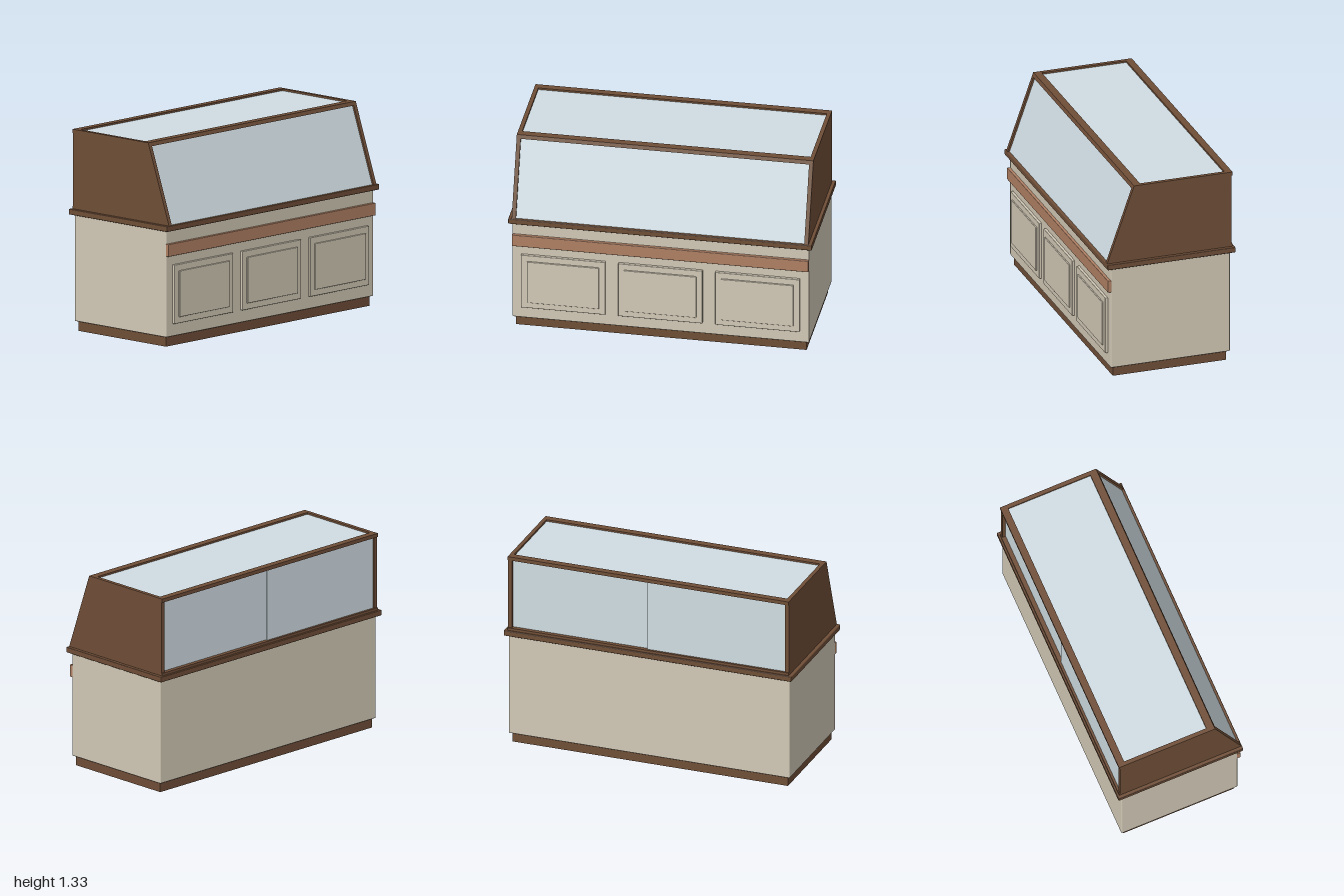
import * as THREE from 'three';
import { RoundedBoxGeometry } from 'three/addons/geometries/RoundedBoxGeometry.js';

const wood = new THREE.MeshStandardMaterial({ color: 0x6f4e37 });
const cream = new THREE.MeshStandardMaterial({ color: 0xd2c9b6 });
const copper = new THREE.MeshStandardMaterial({ color: 0xb08064 });
const glass = new THREE.MeshStandardMaterial({ color: 0xd0dde3 });

export function createModel() {
  const model = new THREE.Group();
  model.name = 'displayCounter';

  const add = (name, geometry, material) => {
    const mesh = new THREE.Mesh(geometry, material);
    mesh.name = name;
    model.add(mesh);
    return mesh;
  };

  // Box given by its limits on each axis, with an optional rounded edge
  const box = (name, material, [x0, x1], [y0, y1], [z0, z1], radius = 0) => {
    const size = [x1 - x0, y1 - y0, z1 - z0];
    const geometry = radius ? new RoundedBoxGeometry(...size, 2, radius) : new THREE.BoxGeometry(...size);
    add(name, geometry, material).position.set((x0 + x1) / 2, (y0 + y1) / 2, (z0 + z1) / 2);
  };

  // Cross-section of [z, y] points swept along x from x0 to x1
  const sweep = (name, material, points, x0, x1) => {
    const shape = new THREE.Shape(points.map(([z, y]) => new THREE.Vector2(-z, y)));
    const geometry = new THREE.ExtrudeGeometry(shape, { depth: x1 - x0, bevelEnabled: false });
    geometry.rotateY(Math.PI / 2).translate(x0, 0, 0);
    add(name, geometry, material);
  };

  const side = 0.977, inner = 0.95;
  const base = 0.805, top = 1.33, railY = 1.305;

  // Depth of the sloping front at height y
  const slope = (y) => 0.435 + (0.25 - 0.435) * (y - base) / (top - base);

  // Cabinet
  box('plinth', wood, [-0.958, 0.958], [0, 0.068], [-0.39, 0.39]);
  box('cabinetBody', cream, [-side, side], [0.065, 0.77], [-0.41, 0.41], 0.007);
  box('frontBand', copper, [-side, side], [0.6, 0.682], [0.405, 0.43], 0.003);
  box('counterTop', wood, [-1, 1], [0.768, base], [-0.44, 0.44], 0.005);

  // Three raised front panels
  for (const x of [-0.64, 0, 0.64]) {
    box('frontPanel', cream, [x - 0.278, x + 0.278], [0.148, 0.538], [0.4, 0.428], 0.004);
    box('raisedField', cream, [x - 0.238, x + 0.238], [0.19, 0.495], [0.415, 0.437], 0.004);
  }

  // Solid canopy ends
  for (const x of [-side, inner]) {
    sweep('canopySide', wood, [[-0.42, base], [0.435, base], [0.25, top], [-0.42, top]], x, x + side - inner);
  }

  // Long canopy rails
  sweep('topFrontRail', wood,
    [[0.2, railY], [slope(railY), railY], [slope(top), top], [0.2, top]], -inner, inner);
  box('topBackRail', wood, [-side, side], [railY, top], [-0.427, -0.38]);
  box('bottomBackRail', wood, [-side, side], [base, 0.823], [-0.427, -0.38]);

  // Front and top glazing, set just inside the frame
  const recess = 0.013, thick = 0.01;
  const f0 = slope(base) - recess, f1 = slope(1.31) - recess;
  sweep('frontGlass', glass, [[f0 - thick, base], [f0, base], [f1, 1.31], [f1 - thick, 1.31]], -inner, inner);
  box('topGlass', glass, [-inner, inner], [1.308, 1.318], [-0.385, 0.205]);

  // Overlapping sliding panes at the back
  box('outerSlidingDoor', glass, [-inner, 0.01], [0.815, 1.308], [-0.411, -0.403]);
  box('innerSlidingDoor', glass, [-0.03, inner], [0.815, 1.308], [-0.398, -0.39]);

  return model;
}
